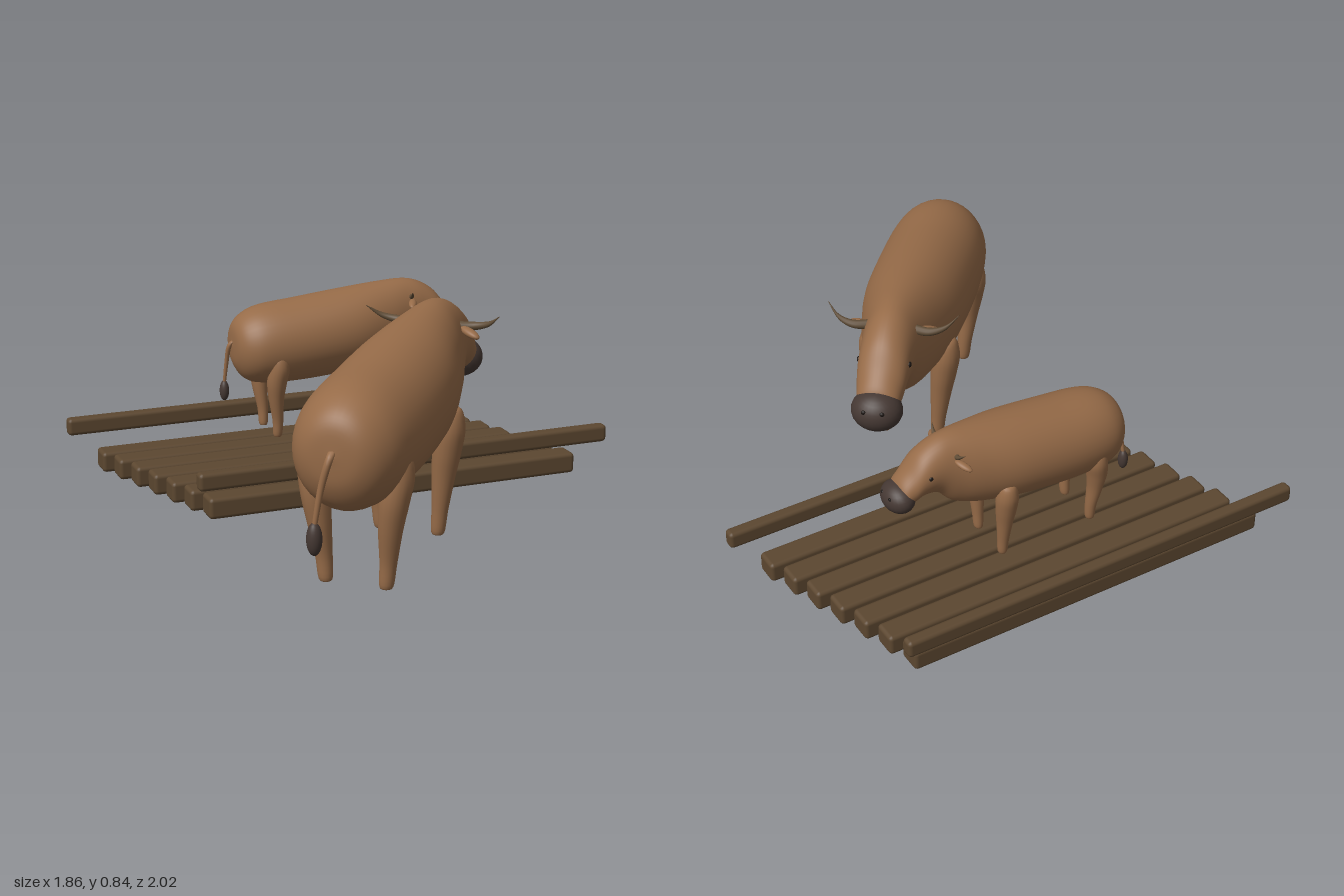
import * as THREE from 'three';
import { RoundedBoxGeometry } from 'three/addons/geometries/RoundedBoxGeometry.js';

const mat = (name, color) => {
  const m = new THREE.MeshStandardMaterial({ color });
  m.name = name;
  return m;
};

const X = new THREE.Vector3(1, 0, 0);
const Y = new THREE.Vector3(0, 1, 0);
const Z = new THREE.Vector3(0, 0, 1);
const DOWN_Y = new THREE.Vector3(0, -1, 0);

// Smooth skin through rows [x, y, z, radiusU, radiusV]; U x V points along the travel.
function loft(rows, U, V, sides = 24, sub = 5) {
  const centre = new THREE.CatmullRomCurve3(rows.map(r => new THREE.Vector3(r[0], r[1], r[2])), false, 'catmullrom');
  const radius = new THREE.CatmullRomCurve3(rows.map(r => new THREE.Vector3(r[3], r[4], 0)), false, 'catmullrom');
  const n = (rows.length - 1) * sub;
  const pos = [], idx = [];
  for (let i = 0; i <= n; i++) {
    const c = centre.getPoint(i / n), r = radius.getPoint(i / n);
    for (let j = 0; j < sides; j++) {
      const t = (j / sides) * Math.PI * 2;
      const p = c.clone()
        .addScaledVector(U, Math.max(r.x, 0.0005) * Math.cos(t))
        .addScaledVector(V, Math.max(r.y, 0.0005) * Math.sin(t));
      pos.push(p.x, p.y, p.z);
      if (i < n) {
        const k = (j + 1) % sides, a = i * sides, b = a + sides;
        idx.push(a + j, a + k, b + j, a + k, b + k, b + j);
      }
    }
  }
  const g = new THREE.BufferGeometry();
  g.setAttribute('position', new THREE.Float32BufferAttribute(pos, 3));
  g.setIndex(idx);
  g.computeVertexNormals();
  return g;
}

function add(parent, name, geometry, material, position) {
  const m = new THREE.Mesh(geometry, material);
  m.name = name;
  if (position) m.position.set(...position);
  parent.add(m);
  return m;
}

const ball = (rx, ry, rz) => new THREE.SphereGeometry(1, 24, 16).scale(rx, ry, rz);

// One animal facing +x, with its nose near the origin.
function makeCow(name, M, hornRows) {
  const cow = new THREE.Group();
  cow.name = name;

  // Trunk, neck and head in one skin
  add(cow, 'body', loft([
    [-1.205, 0.54, 0, 0, 0],
    [-1.19, 0.54, 0, 0.11, 0.10],
    [-1.13, 0.53, 0, 0.185, 0.165],
    [-1.02, 0.535, 0, 0.22, 0.2],
    [-0.8, 0.545, 0, 0.233, 0.212],
    [-0.5, 0.572, 0, 0.238, 0.202],
    [-0.28, 0.598, 0, 0.232, 0.16],
    [-0.15, 0.625, 0, 0.21, 0.126],
    [-0.06, 0.66, 0, 0.157, 0.108],
    [0.03, 0.645, 0, 0.122, 0.1],
    [0.1, 0.595, 0, 0.095, 0.09],
    [0.16, 0.56, 0, 0.065, 0.07],
    [0.18, 0.55, 0, 0, 0],
  ], Y, Z, 36, 6), M.hide);

  // Muzzle and nostrils
  add(cow, 'muzzle', ball(0.085, 0.081, 0.1), M.muzzle, [0.152, 0.545, 0]).rotation.z = -0.25;

  for (const s of [1, -1]) {
    add(cow, 'nostril', ball(0.007, 0.009, 0.01), M.dark, [0.221, 0.575, s * 0.035]);
    add(cow, 'eye', ball(0.012, 0.012, 0.008), M.dark, [0.015, 0.67, s * 0.098]);

    // Ears droop slightly outwards
    const ear = add(cow, 'ear', ball(0.022, 0.016, 0.05), M.hide, [-0.15, 0.72, s * 0.14]);
    ear.rotation.set(s * 0.3, s * -0.5, 0);

    // Horns
    const up = s > 0 ? Y : DOWN_Y;
    add(cow, 'horn', loft(hornRows.map(([x, y, z, r]) => [x, y, s * z, r, r]), X, up, 12), M.horn);

    // Legs
    for (const [part, x, bend] of [['frontLeg', -0.41, 0], ['hindLeg', -0.976, -0.012]]) {
      add(cow, part, loft([
        [x, 0.512, s * 0.153, 0, 0],
        [x, 0.5, s * 0.153, 0.042, 0.04],
        [x, 0.43, s * 0.15, 0.06, 0.057],
        [x + bend, 0.34, s * 0.14, 0.056, 0.053],
        [x + bend, 0.24, s * 0.128, 0.043, 0.043],
        [x, 0.12, s * 0.117, 0.031, 0.031],
        [x, 0.03, s * 0.11, 0.024, 0.024],
        [x, 0.029, s * 0.11, 0, 0],
      ], X, Z, 18), M.hide);
    }
  }

  // Tail and its tuft
  add(cow, 'tail', loft([
    [-1.17, 0.58, 0, 0.012, 0.012],
    [-1.215, 0.54, -0.005, 0.014, 0.014],
    [-1.225, 0.44, -0.03, 0.012, 0.012],
    [-1.234, 0.31, -0.05, 0.009, 0.009],
  ], X, Z, 12), M.hide);
  add(cow, 'tailTuft', ball(0.027, 0.058, 0.027), M.muzzle, [-1.234, 0.27, -0.05]);
  return cow;
}

export function createModel() {
  const model = new THREE.Group();
  model.name = 'cowAndCalfByBridge';
  const M = {
    hide: mat('hide', 0x966b48),
    muzzle: mat('muzzle', 0x453833),
    horn: mat('horn', 0x5f4c36),
    dark: mat('dark', 0x1d1714),
    wood: mat('wood', 0x5c4730),
  };

  // Slanted plank deck with two floating side rails
  const bridge = new THREE.Group();
  bridge.name = 'bridge';
  model.add(bridge);
  const slant = -Math.PI / 10;
  const plank = new RoundedBoxGeometry(1.535, 0.083, 0.1, 2, 0.016);
  for (let i = 0; i < 7; i++) {
    add(bridge, 'plank', plank, M.wood, [0.107, 0.0415, -0.625 + i * 0.1217]).rotation.y = slant;
  }
  const rail = new RoundedBoxGeometry(1.7, 0.07, 0.052, 2, 0.016);
  for (const z of [-0.713, 0.192]) {
    add(bridge, 'rail', rail, M.wood, [0.107, 0.17, z]).rotation.y = slant;
  }

  // Adult beside the deck
  const cow = makeCow('cow', M, [
    [-0.13, 0.735, 0.08, 0.02],
    [-0.115, 0.738, 0.15, 0.016],
    [-0.13, 0.755, 0.21, 0.01],
    [-0.167, 0.795, 0.258, 0.001],
  ]);
  cow.position.set(0.18, 0, 0.312);
  cow.rotation.y = Math.PI / 6;
  model.add(cow);

  // Calf over the deck, with short horns
  const calf = makeCow('calf', M, [
    [-0.14, 0.745, 0.08, 0.016],
    [-0.14, 0.755, 0.115, 0.012],
    [-0.155, 0.785, 0.15, 0.001],
  ]);
  calf.position.set(0.539, 0.155, -0.203);
  calf.rotation.y = slant;
  calf.scale.set(0.69, 0.71, 0.78);
  model.add(calf);

  return model;
}
